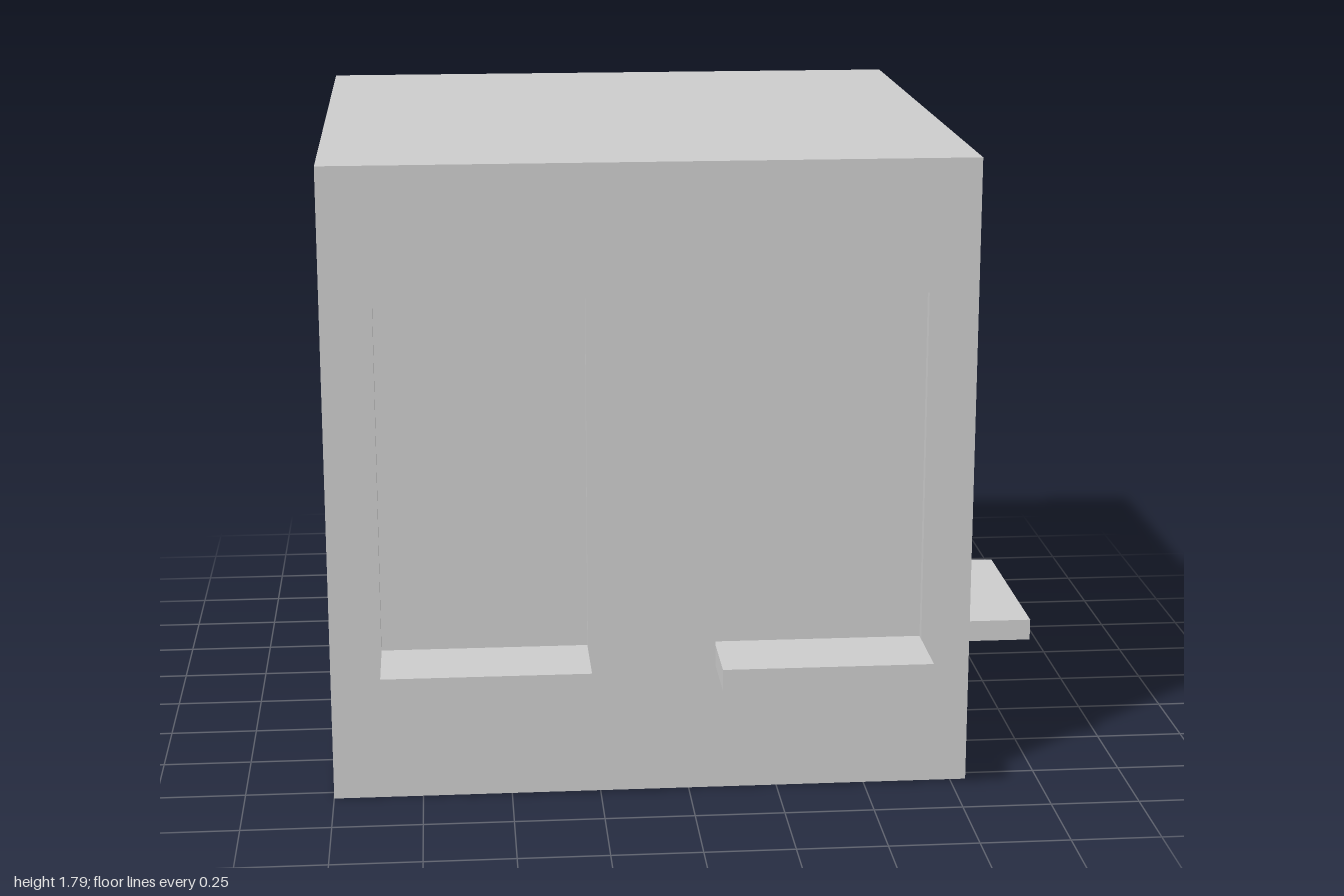
import * as THREE from 'three';

const MIN = -1, FACE = 0.795, HEIGHT = 1.795; // block extents
const DEPTH = 0.03;                           // window recess
const SILL_TOP = 0.425, SILL_BOTTOM = 0.365, HEAD = 1.425, SILL_OUT = 1;

const material = new THREE.MeshStandardMaterial({ color: 0xcccccc, flatShading: true });

function rectangle(path, u0, y0, u1, y1) {
  path.moveTo(u0, y0);
  path.lineTo(u1, y0);
  path.lineTo(u1, y1);
  path.lineTo(u0, y1);
  path.closePath();
  return path;
}

function box(name, x0, x1, y0, y1, z0, z1) {
  const mesh = new THREE.Mesh(new THREE.BoxGeometry(x1 - x0, y1 - y0, z1 - z0), material);
  mesh.position.set((x0 + x1) / 2, (y0 + y1) / 2, (z0 + z1) / 2);
  mesh.name = name;
  return mesh;
}

// Wall facing +z, with window openings and a projecting sill under each
function windowWall(name, u0, u1, windows) {
  const wall = new THREE.Group();
  wall.name = name;
  const outline = rectangle(new THREE.Shape(), u0, 0, u1, HEIGHT);
  for (const [a, b] of windows) {
    outline.holes.push(rectangle(new THREE.Path(), a, SILL_TOP, b, HEAD));
    wall.add(box('windowSill', a, b, SILL_BOTTOM, SILL_TOP, FACE, SILL_OUT));
  }
  const panel = new THREE.Mesh(
    new THREE.ExtrudeGeometry(outline, { depth: DEPTH, bevelEnabled: false }), material);
  panel.position.z = FACE - DEPTH;
  panel.name = 'wallWithOpenings';
  wall.add(panel);
  return wall;
}

export function createModel() {
  const model = new THREE.Group();
  model.name = 'buildingBlock';

  // Solid core, whose front and side faces are the window panes
  const inner = FACE - DEPTH;
  model.add(box('buildingCore', MIN, inner, 0, HEIGHT, MIN, inner));

  // Front wall
  model.add(windowWall('frontWall', MIN, FACE, [[-0.857, -0.283], [0.075, 0.658]]));

  // Side wall, turned to face +x (its local x runs along -z)
  const side = windowWall('sideWall', -inner, 1, [[-0.652, -0.078], [0.28, 0.925]]);
  side.rotation.y = Math.PI / 2;
  model.add(side);

  return model;
}
